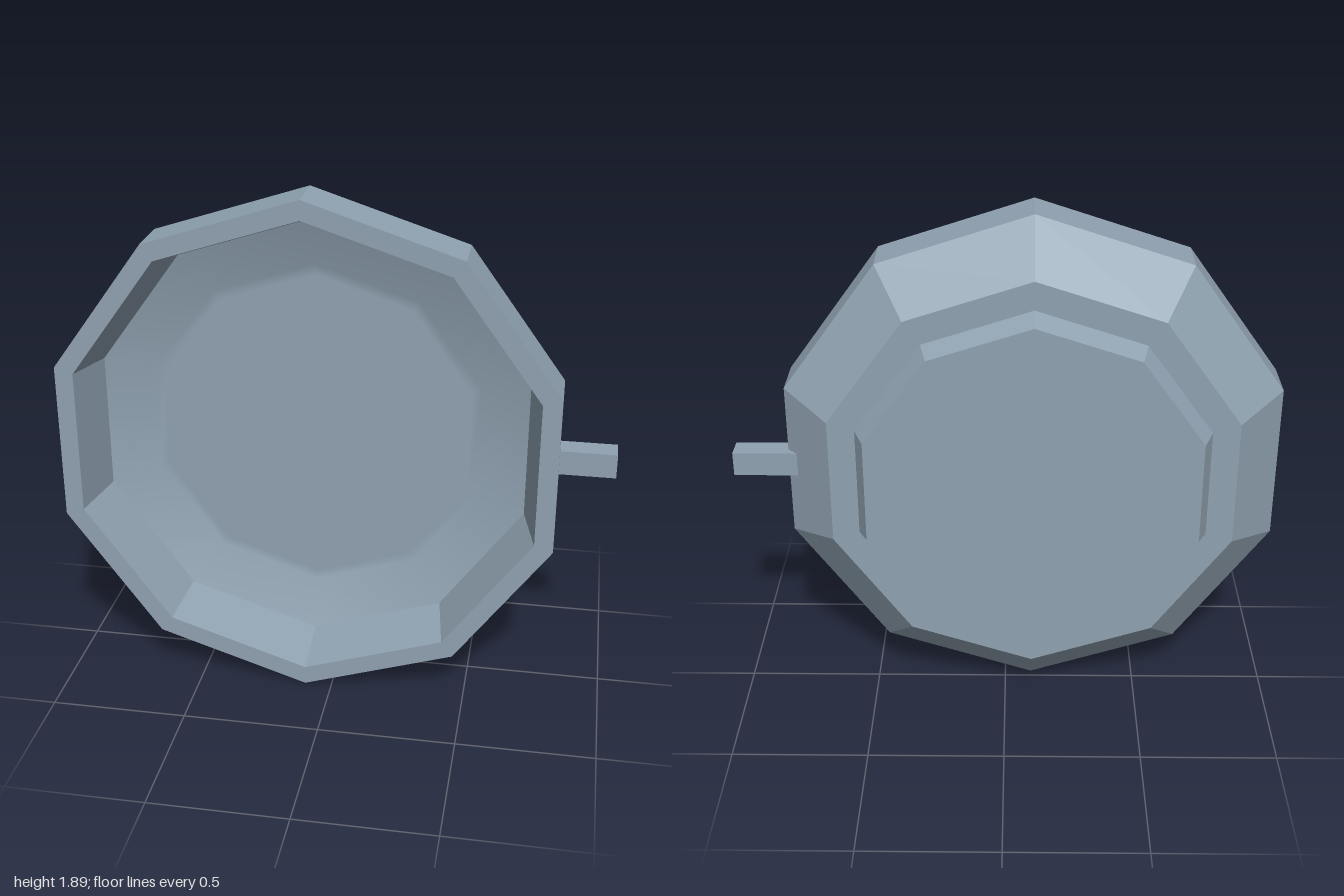
import * as THREE from 'three';

const SIDES = 10;
const RADIUS = 0.945;
const CENTER_X = -0.1;

const material = new THREE.MeshStandardMaterial({ color: 0x8fa1b0 });

// Ten-sided turned part, faceted or smooth; profile points are [radius, z]
function turned(name, profile, smooth = false) {
  const points = profile.map(([r, z]) => new THREE.Vector2(r, z));
  let geometry = new THREE.LatheGeometry(points, SIDES).rotateX(Math.PI / 2);
  if (!smooth) {
    geometry = geometry.toNonIndexed();
    geometry.computeVertexNormals();
  }
  const mesh = new THREE.Mesh(geometry, material);
  mesh.name = name;
  mesh.position.set(CENTER_X, RADIUS, 0);
  return mesh;
}

export function createModel() {
  const group = new THREE.Group();
  group.name = 'shallowCase';

  // Outer wall, front rim and steep inner wall
  group.add(turned('caseBody', [
    [0.664, -0.14],
    [0.767, -0.14],
    [RADIUS, 0.03],
    [RADIUS, 0.216],
    [0.874, 0.216],
    [0.823, 0.005],
  ]));

  // Softly shaded dish inside, with a flat floor
  group.add(turned('innerDish', [
    [0.823, 0.005],
    [0.64, -0.055],
    [0.6, -0.055],
    [0, -0.055],
  ], true));

  // Raised plate on the back
  group.add(turned('backPlate', [
    [0, -0.216],
    [0.629, -0.216],
    [0.664, -0.14],
  ]));

  // Small peg on the model's left side
  const peg = new THREE.Mesh(new THREE.BoxGeometry(0.26, 0.09, 0.09), material);
  peg.name = 'sidePeg';
  peg.position.set(0.87, RADIUS, 0.04);
  group.add(peg);

  return group;
}
